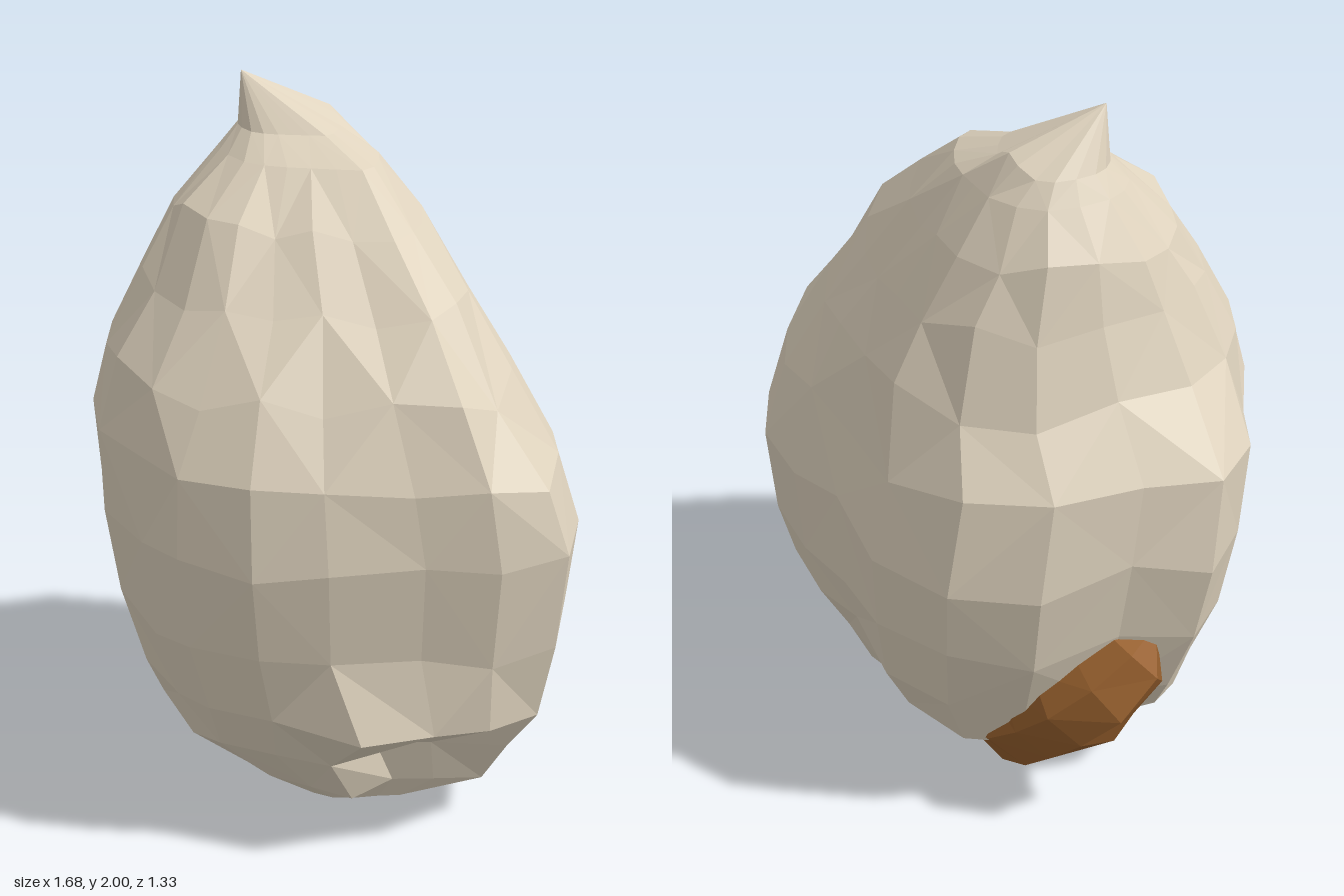
import * as THREE from 'three';

// Small repeatable unevenness for the facets
const wobble = (i, j, amount) => {
  const s = Math.sin(i * 12.9898 + j * 78.233) * 43758.5453;
  return (s - Math.floor(s) - 0.5) * 2 * amount;
};

// Widest outline of the bulb (x, z), going round from the back right
const waist = [
  [-0.65, -0.47], [-0.47, -0.635], [-0.2, -0.667], [0.06, -0.58], [0.28, -0.56],
  [0.51, -0.49], [0.65, -0.37], [0.84, -0.145], [0.79, 0.05], [0.67, 0.21],
  [0.54, 0.43], [0.41, 0.58], [0.2, 0.667], [0.0, 0.64], [-0.28, 0.57],
  [-0.45, 0.46], [-0.58, 0.3], [-0.77, 0.14], [-0.84, -0.03], [-0.73, -0.22],
];

// Rounder outline of the shoulders, narrowing to a ridge on the left
const shoulder = [
  [-0.68, -0.49], [-0.47, -0.62], [-0.2, -0.667], [0.04, -0.6], [0.24, -0.54],
  [0.44, -0.45], [0.63, -0.29], [0.8, -0.08], [0.84, 0.08], [0.68, 0.23],
  [0.52, 0.37], [0.37, 0.5], [0.2, 0.61], [0.0, 0.667], [-0.28, 0.62],
  [-0.5, 0.53], [-0.68, 0.4], [-0.8, 0.22], [-0.84, 0.02], [-0.79, -0.25],
];

// Levels: y, xMin, xMax, zMin, zMax
const levels = [
  [0.05, -0.05, 0.42, -0.15, 0.24],
  [0.12, -0.42, 0.57, -0.4, 0.36],
  [0.25, -0.64, 0.66, -0.51, 0.51],
  [0.4, -0.7, 0.75, -0.59, 0.57],
  [0.6, -0.79, 0.8, -0.645, 0.63],
  [0.85, -0.84, 0.84, -0.667, 0.667],
  [1.08, -0.83, 0.81, -0.61, 0.66],
  [1.28, -0.67, 0.68, -0.54, 0.6],
  [1.48, -0.59, 0.5, -0.46, 0.45],
  [1.65, -0.55, 0.3, -0.38, 0.31],
  [1.79, -0.46, 0.1, -0.29, 0.14],
  [1.85, -0.42, -0.08, -0.23, 0.06],
];

function bulbGeometry() {
  const n = waist.length;
  const rings = levels.map(([y, x0, x1, z0, z1], j) => waist.map(([wx, wz], i) => {
    const t = THREE.MathUtils.smoothstep(y, 0.95, 1.4);
    const ox = THREE.MathUtils.lerp(wx, shoulder[i][0], t);
    const oz = THREE.MathUtils.lerp(wz, shoulder[i][1], t);
    let x = THREE.MathUtils.mapLinear(ox, -0.84, 0.84, x0, x1);
    const z = THREE.MathUtils.mapLinear(oz, -0.667, 0.667, z0, z1);
    let py = y + wobble(i, j, j === 0 || j > 9 ? 0 : 0.03);
    // rim on the left side with a hollow below it
    if (i > 7 && i < 11 && j === 3) { x += 0.035 * (i - 7); py = 0.38; }
    if ((i === 8 || i === 9) && (j === 1 || j === 2)) x -= j === 2 ? 0.11 : 0.05;
    // second, lower tip at the back of the crown
    if (j === levels.length - 1 && i > 1 && i < 5) py += i === 3 ? 0.04 : 0.025;
    return [x, py, z];
  }));
  const pos = [];
  const tri = (...p) => p.forEach((v) => pos.push(...v));
  for (let j = 0; j < rings.length - 1; j++) {
    for (let i = 0; i < n; i++) {
      const k = (i + 1) % n;
      const a = rings[j][i], b = rings[j][k], c = rings[j + 1][i], d = rings[j + 1][k];
      if ((i + j) % 2) { tri(a, c, b); tri(b, c, d); } else { tri(a, c, d); tri(a, d, b); }
    }
  }
  // close the underside and draw the crown up to its tip
  const top = rings[rings.length - 1];
  for (let i = 0; i < n; i++) {
    const k = (i + 1) % n;
    tri(rings[0][i], rings[0][k], [0.25, 0.03, 0.04]);
    tri(top[i], [-0.36, 2, 0.01], top[k]);
  }
  const g = new THREE.BufferGeometry();
  g.setAttribute('position', new THREE.Float32BufferAttribute(pos, 3));
  g.computeVertexNormals();
  return g;
}

// Lumpy tapered root along a path
function rootGeometry(points, radius, segments) {
  const curve = new THREE.CatmullRomCurve3(points.map((p) => new THREE.Vector3(...p)));
  const sides = 7;
  const g = new THREE.TubeGeometry(curve, segments, radius, sides, false);
  const p = g.attributes.position;
  const v = new THREE.Vector3();
  for (let j = 0; j <= segments; j++) {
    const c = curve.getPointAt(j / segments);
    const taper = Math.pow(Math.max(0, Math.sin(Math.PI * j / segments)), 0.4);
    for (let i = 0; i <= sides; i++) {
      const id = j * (sides + 1) + i;
      v.fromBufferAttribute(p, id).sub(c).multiplyScalar(taper * (1 + wobble(i % sides, j, 0.1))).add(c);
      p.setXYZ(id, v.x, Math.max(0, v.y), v.z);
    }
  }
  const flat = g.toNonIndexed();
  flat.computeVertexNormals();
  return flat;
}

export function createModel() {
  const model = new THREE.Group();
  const skin = new THREE.MeshStandardMaterial({ color: 0xdfd3be, flatShading: true });
  skin.name = 'cream skin';
  const brown = new THREE.MeshStandardMaterial({ color: 0x965f2d, flatShading: true });
  brown.name = 'brown root';

  const add = (name, geometry, material) => {
    const mesh = new THREE.Mesh(geometry, material);
    mesh.name = name;
    model.add(mesh);
  };

  add('bulb', bulbGeometry(), skin);
  // thick end of the root, in the hollow at the back right
  add('rootHeel', rootGeometry([
    [-0.14, 0.15, -0.22], [-0.3, 0.2, -0.27], [-0.46, 0.29, -0.29], [-0.6, 0.41, -0.27], [-0.68, 0.52, -0.18], [-0.69, 0.6, -0.08],
  ], 0.16, 8), brown);
  // strip under the bulb, ending in a small lump
  add('rootStrip', rootGeometry([
    [-0.62, 0.32, -0.1], [-0.4, 0.2, -0.07], [-0.18, 0.14, -0.1], [0.0, 0.09, -0.11], [0.1, 0.1, -0.16], [0.12, 0.13, -0.32],
  ], 0.1, 9), brown);
  // branch curling up under the front
  add('rootSpur', rootGeometry([
    [0.22, 0.05, -0.04], [0.06, 0.1, 0.02], [-0.1, 0.155, 0.12], [-0.22, 0.18, 0.21], [-0.36, 0.22, 0.28],
  ], 0.12, 7), brown);
  return model;
}
